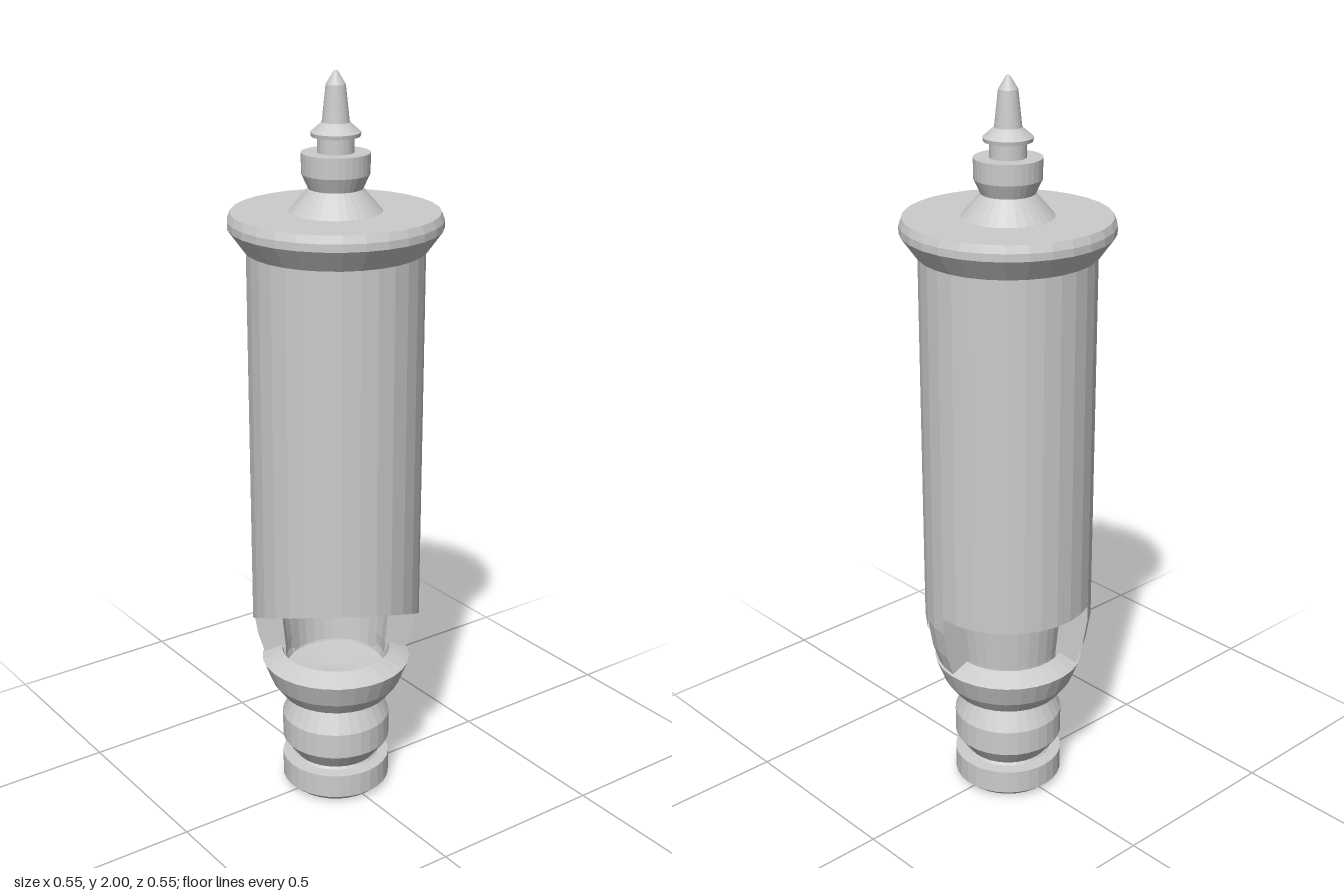
import * as THREE from 'three';

const DEG = Math.PI / 180;
const material = new THREE.MeshStandardMaterial({ color: 0xcccccc, flatShading: true, side: THREE.DoubleSide });
const points = (list) => list.map(([r, y]) => new THREE.Vector2(r, y));

function part(name, geometry) {
  const mesh = new THREE.Mesh(geometry, material);
  mesh.name = name;
  return mesh;
}

// Turned profile between two angles, measured from +x towards +z, one side per 12 degrees
function turned(profile, from = 2, to = 362) {
  return new THREE.LatheGeometry(points(profile), Math.round((to - from) / 12), (90 - to) * DEG, (to - from) * DEG);
}

// Tilted plane that cuts the lower end of the barrel
function cutHeight(x, z) {
  const a = 122 * DEG;
  return 0.511 + 0.474 * (x * Math.cos(a) + z * Math.sin(a));
}

// Post: a solid sector of the barrel with flat side walls
function post(name, from, to) {
  const profile = [[0.155, 1.56], [0.155, 0.57], [0.14, 0.415], [0.14, 0.36],
    [0.187, 0.36], [0.198, 0.39], [0.217, 0.45], [0.23, 0.53], [0.23, 1.56]];
  const group = new THREE.Group();
  group.name = name;
  group.add(part('postFaces', turned(profile, from, to)));
  for (const angle of [from, to]) {
    const side = new THREE.ShapeGeometry(new THREE.Shape(points(profile)));
    side.rotateY(-angle * DEG);
    group.add(part('postSide', side));
  }
  return group;
}

export function createModel() {
  const model = new THREE.Group();

  // Foot with two rounded collars
  model.add(part('foot', turned([[0, 0], [0.13, 0], [0.15, 0.018], [0.15, 0.085], [0.12, 0.088],
    [0.115, 0.095], [0.15, 0.143], [0.15, 0.215], [0.12, 0.275], [0, 0.275]])));

  // Bowl under the mouth, with a bevelled rim
  model.add(part('bowl', turned([[0, 0.275], [0.13, 0.275], [0.152, 0.287], [0.18, 0.325], [0.205, 0.39],
    [0.15, 0.415], [0.135, 0.36], [0, 0.35]])));

  // Front of the barrel, its lower end cut by the tilted plane
  const front = turned([[0.155, 1.56], [0.155, 0.5], [0.23, 0.5], [0.23, 1.56]], 26, 218);
  const pos = front.attributes.position;
  for (let i = 0; i < pos.count; i++) {
    if (pos.getY(i) < 1) pos.setY(i, cutHeight(pos.getX(i), pos.getZ(i)));
  }
  model.add(part('barrelFront', front));

  // Back of the barrel above a window closed by a recessed wall
  model.add(part('barrelBack', turned([[0.155, 1.56], [0.155, 0.555], [0.23, 0.575], [0.23, 1.56]], 242, 362)));
  model.add(part('windowWall', turned([[0.145, 0.58], [0.13, 0.37], [0.138, 0.37], [0.14, 0.415], [0.155, 0.58]], 242, 362)));

  // Posts joining barrel and bowl
  model.add(post('leftPost', 2, 26));
  model.add(post('backPost', 218, 242));

  // Flange closing the top
  model.add(part('flange', turned([[0, 1.553], [0.235, 1.553], [0.276, 1.61], [0.276, 1.63], [0.268, 1.65], [0, 1.65]])));

  // Stem, collar and pointed tip
  model.add(part('stem', turned([[0.12, 1.65], [0.07, 1.708], [0.087, 1.745], [0.088, 1.798], [0.047, 1.798],
    [0.047, 1.836], [0.062, 1.838], [0.064, 1.848], [0.035, 1.873]])));
  model.add(part('tip', turned([[0.035, 1.873], [0.025, 1.965], [0.022, 1.97], [0.005, 1.998], [0, 2]])));

  return model;
}
